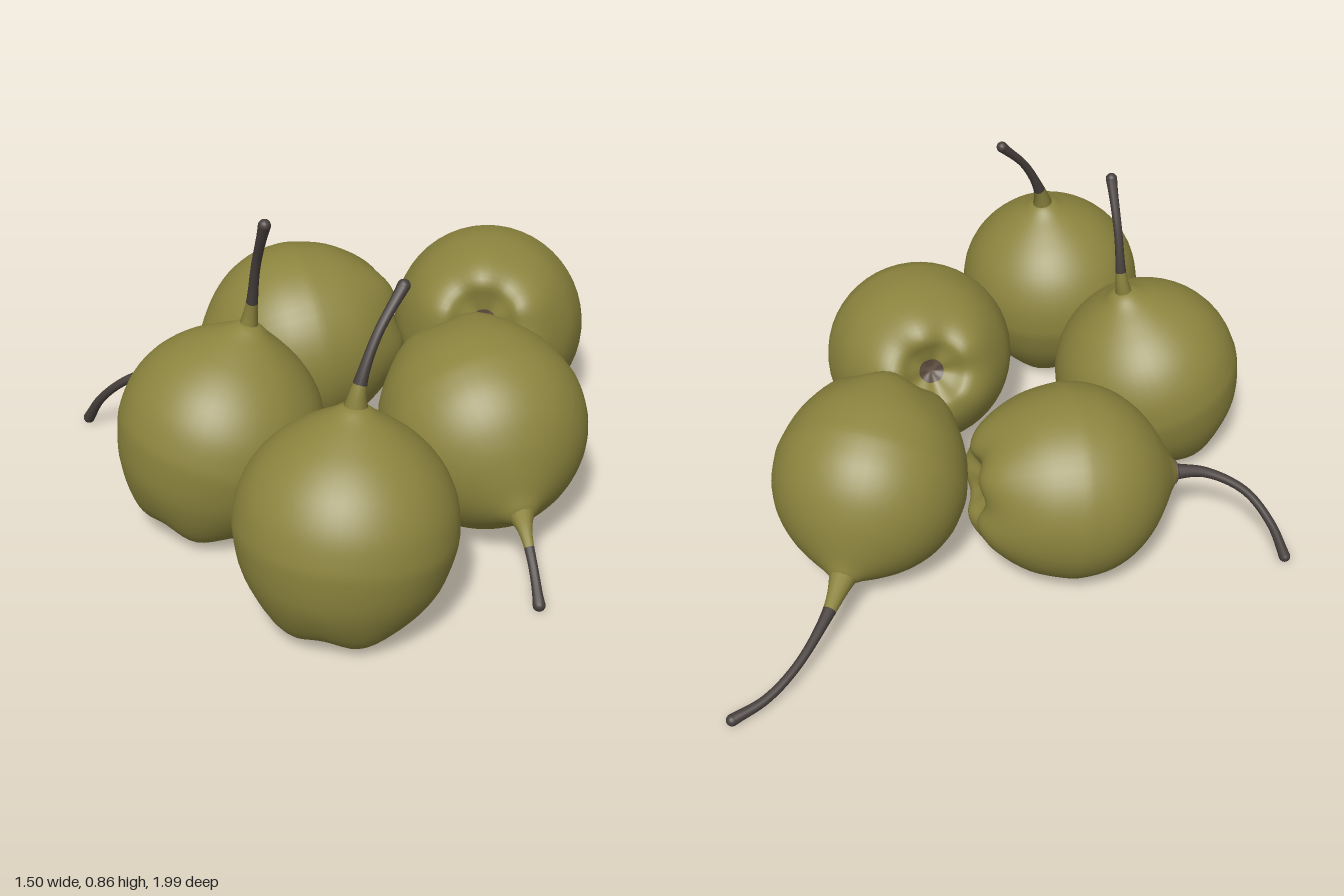
import * as THREE from 'three';
import { mergeVertices } from 'three/addons/utils/BufferGeometryUtils.js';

const skin = new THREE.MeshStandardMaterial({ color: 0x8c843e });
const stemBrown = new THREE.MeshStandardMaterial({ color: 0x463f3c });
const calyxBrown = new THREE.MeshStandardMaterial({ color: 0x5a4a3c });
const scarBrown = new THREE.MeshStandardMaterial({ color: 0x6a5650 });
skin.name = 'olive skin';
stemBrown.name = 'dark stem';
calyxBrown.name = 'calyx brown';
scarBrown.name = 'stem scar';

// Pear outline from the rim of the calyx hollow to the neck: radius, height along the axis
const outline = new THREE.SplineCurve([
  [0.034, -0.215], [0.065, -0.232], [0.1, -0.252], [0.145, -0.237], [0.19, -0.192], [0.235, -0.115],
  [0.258, -0.03], [0.26, 0.02], [0.248, 0.085], [0.215, 0.15], [0.165, 0.204],
  [0.11, 0.243], [0.06, 0.272], [0.03, 0.292], [0, 0.3],
].map(([r, s]) => new THREE.Vector2(r, s))).getPoints(48);
outline[outline.length - 1].x = 0;

const calyxOutline = [[0, -0.205], [0.018, -0.208], [0.034, -0.215]]
  .map(([r, s]) => new THREE.Vector2(r, s));

// Lathe turned to the pear's axis, gently lobed, resting flat on the ground
function turned(points, centre, axis, seed) {
  let g = new THREE.LatheGeometry(points, 48);
  const pos = g.attributes.position;
  const q = new THREE.Quaternion().setFromUnitVectors(new THREE.Vector3(0, 1, 0), axis);
  const v = new THREE.Vector3();
  for (let i = 0; i < pos.count; i++) {
    v.fromBufferAttribute(pos, i);
    const a = Math.atan2(v.z, v.x);
    const low = THREE.MathUtils.smoothstep(-v.y, 0.1, 0.25);
    const r = Math.hypot(v.x, v.z);
    const wobble = 1 + 0.008 * Math.sin(2 * a + seed);
    v.x *= wobble;
    v.z *= wobble;
    v.y += 0.008 * low * Math.sin(5 * a + seed) * Math.min(1, r / 0.1);
    v.applyQuaternion(q).add(centre);
    pos.setXYZ(i, v.x, Math.max(v.y, 0.002), v.z);
  }
  g.deleteAttribute('normal');
  g.deleteAttribute('uv');
  g = mergeVertices(g, 1e-5);
  g.computeVertexNormals();
  return g;
}

// Curved stem: flared fleshy neck, thin middle, thicker end
function stemGeometry(curve, flare, greenPart) {
  const rings = 40, sides = 12;
  const g = new THREE.TubeGeometry(curve, rings, 1, sides);
  const pos = g.attributes.position;
  const v = new THREE.Vector3();
  for (let i = 0; i <= rings; i++) {
    const t = i / rings;
    const c = curve.getPointAt(t);
    const radius = 0.0115 + flare * Math.pow(1 - t, 6) + 0.004 * Math.pow(t, 8);
    for (let j = 0; j <= sides; j++) {
      const k = i * (sides + 1) + j;
      v.fromBufferAttribute(pos, k).sub(c).multiplyScalar(radius).add(c);
      pos.setXYZ(k, v.x, v.y, v.z);
    }
  }
  const split = Math.round(rings * greenPart) * sides * 6;
  if (split > 0) g.addGroup(0, split, 0);
  g.addGroup(split, g.index.count - split, 1);
  return g;
}

// centre, stem path from the neck to the tip, neck flare, fleshy share of the stem
const pears = [
  { name: 'frontLeftPear', centre: [-0.13, 0.258, 0.562], flare: 0.028, green: 0.3,
    stem: [[-0.088, 0.49, 0.505], [-0.075, 0.58, 0.494], [-0.045, 0.71, 0.508], [0.01, 0.842, 0.54]] },
  { name: 'frontRightPear', centre: [0.37, 0.26, 0.737], flare: 0.03, green: 0.26,
    stem: [[0.37, 0.52, 0.7], [0.372, 0.59, 0.683], [0.382, 0.7, 0.625], [0.397, 0.792, 0.54]] },
  { name: 'rightPear', centre: [0.404, 0.266, 0.19], flare: 0.032, green: 0.42,
    stem: [[0.606, 0.165, 0.345], [0.645, 0.14, 0.385], [0.695, 0.085, 0.432], [0.735, 0.016, 0.47]] },
  { name: 'backPear', centre: [0.125, 0.265, -0.305], flare: 0.03, green: 0.22,
    stem: [[0.013, 0.148, -0.525], [-0.03, 0.108, -0.63], [-0.066, 0.058, -0.78],
      [-0.067, 0.028, -0.89], [-0.046, 0.017, -0.985]] },
  { name: 'leftPear', centre: [-0.265, 0.255, 0.042], flare: 0.014, green: 0, scar: true,
    stem: [[-0.435, 0.236, 0.262], [-0.5, 0.222, 0.338], [-0.595, 0.175, 0.393],
      [-0.68, 0.098, 0.405], [-0.737, 0.017, 0.4]] },
];

export function createModel() {
  const model = new THREE.Group();
  model.name = 'pears';
  pears.forEach((p, i) => {
    const pear = new THREE.Group();
    pear.name = p.name;
    const add = (name, geometry, material) => {
      const mesh = new THREE.Mesh(geometry, material);
      mesh.name = name;
      pear.add(mesh);
      return mesh;
    };
    const centre = new THREE.Vector3(...p.centre);
    const path = p.stem.map((a) => new THREE.Vector3(...a));
    const axis = path[0].clone().sub(centre).normalize();

    add('body', turned(outline, centre, axis, i * 1.7), skin);
    add('calyx', turned(calyxOutline, centre, axis, i * 1.7), calyxBrown);

    // Stem with a small knob at its tip
    const curve = new THREE.CatmullRomCurve3(path);
    add('stem', stemGeometry(curve, p.flare, p.green), [skin, stemBrown]);
    const knob = add('stemTip', new THREE.SphereGeometry(0.0155, 14, 10), stemBrown);
    knob.position.copy(path[path.length - 1]);

    // Bare brown ring where the stem meets the skin
    if (p.scar) {
      const scar = add('stemScar', new THREE.SphereGeometry(0.034, 20, 12), scarBrown);
      scar.scale.y = 0.35;
      scar.quaternion.setFromUnitVectors(new THREE.Vector3(0, 1, 0), axis);
      scar.position.copy(centre).addScaledVector(axis, 0.291);
    }
    model.add(pear);
  });
  return model;
}
